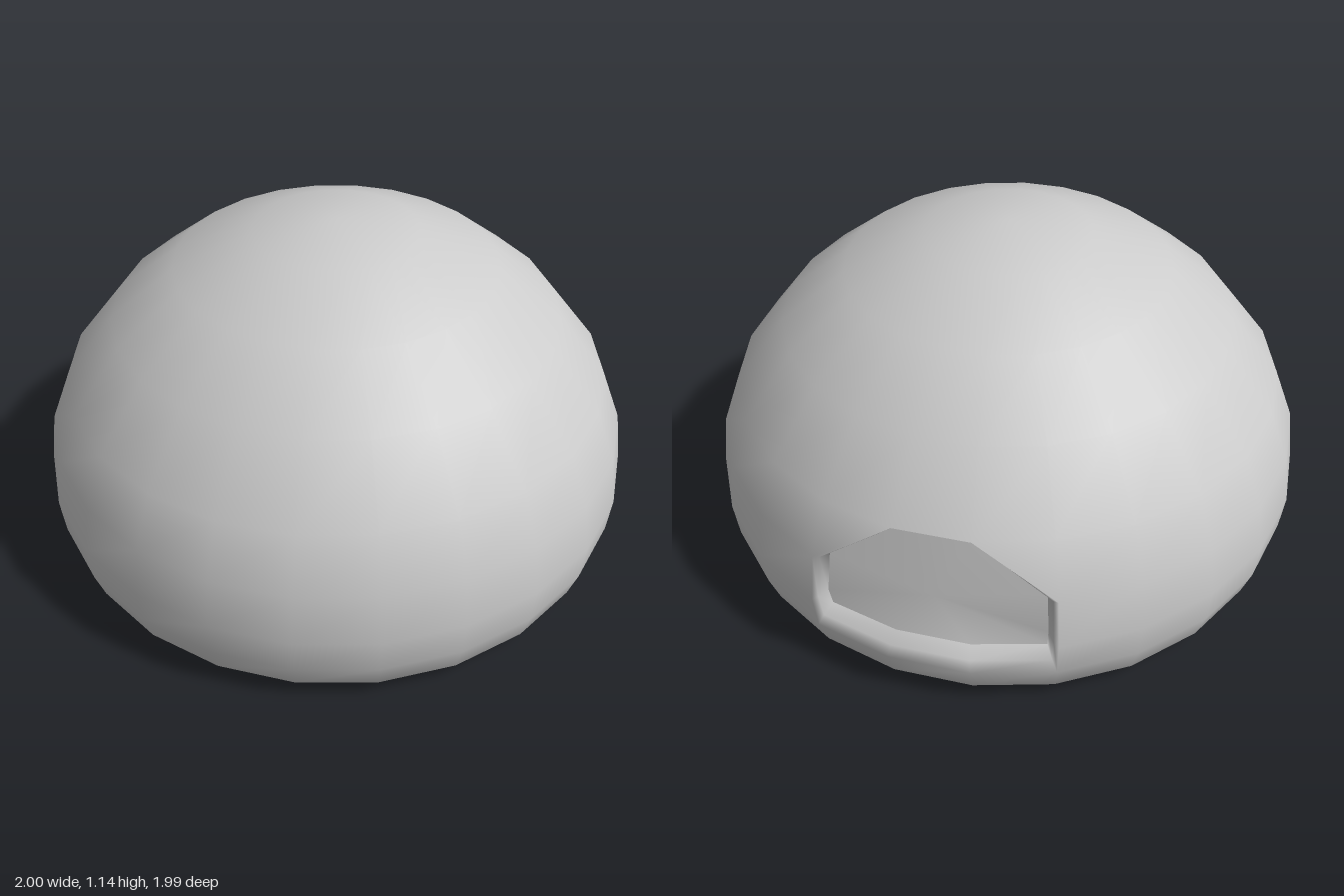
import * as THREE from 'three';

const SEG = 24;
// [radius, height] of the rings from the apex down to the base centre
const RINGS = [
  [0, 1.145], [0.27, 1.11], [0.53, 1.0], [0.74, 0.835], [0.905, 0.625], [0.975, 0.45],
  [1, 0.285], [0.988, 0.16], [0.957, 0.065], [0.917, 0.022], [0.855, 0.004], [0, 0],
];
const STEP = (Math.PI * 2) / SEG;
const MIDDLE = -STEP / 2; // direction of the doorway, measured from the back

const point = (r, y, angle) => [r * Math.sin(angle), y, -r * Math.cos(angle)];

function buildGeometry(points, index) {
  const geometry = new THREE.BufferGeometry();
  geometry.setAttribute('position', new THREE.Float32BufferAttribute(points.flat(), 3));
  geometry.setIndex(index);
  geometry.computeVertexNormals();
  return geometry;
}

export function createModel() {
  const group = new THREE.Group();
  const material = new THREE.MeshStandardMaterial({ color: 0xcccccc });

  // Dome rings; the two poles are single shared vertices
  const points = [];
  const index = [];
  const last = RINGS.length - 1;
  const ids = RINGS.map(([r, y]) => {
    const start = points.length;
    const count = r === 0 ? 1 : SEG;
    for (let j = 0; j < count; j++) points.push(point(r, y, (j - 2) * STEP));
    return (j) => start + (j % count);
  });

  // Dome faces, leaving the doorway open
  for (let i = 0; i < last; i++) {
    for (let j = 0; j < SEG; j++) {
      const a = ids[i](j), b = ids[i](j + 1), c = ids[i + 1](j), d = ids[i + 1](j + 1);
      const inDoor = j < 3;
      if (inDoor && (i === 5 || i === 6 || (i === 4 && j === 1))) continue;
      if (i === 4 && j === 0) index.push(a, b, c); // sloped door corners
      else if (i === 4 && j === 2) index.push(a, b, d);
      else {
        if (i < last - 1) index.push(a, d, c);
        if (i > 0) index.push(a, b, d);
      }
    }
  }

  // Doorway outline as [ring, column], then two inset copies for the rounded rim
  const outline = [[7, 0], [6, 0], [5, 0], [4, 1], [4, 2], [5, 3], [6, 3], [7, 3], [7, 2], [7, 1]];
  const inset = (t, depth) => outline.map(([i, j]) => {
    const [r, y] = RINGS[i];
    const angle = THREE.MathUtils.lerp((j - 2) * STEP, MIDDLE, 0.06 * t);
    const innerY = i === 7 ? 0.232 : i === 6 ? 0.3 : y - 0.014;
    return point(r - depth, THREE.MathUtils.lerp(y, innerY, t), angle);
  });
  const addLoop = (loop) => loop.map((p) => points.push(p) - 1);
  const inner = inset(1, 0.05);
  const loops = [outline.map(([i, j]) => ids[i](j)), addLoop(inset(0.55, 0.015)), addLoop(inner)];
  for (let l = 0; l < 2; l++) {
    for (let k = 0; k < outline.length; k++) {
      const n = (k + 1) % outline.length;
      const [o, m] = [loops[l], loops[l + 1]];
      index.push(o[k], o[n], m[n], o[k], m[n], m[k]);
    }
  }
  const dome = new THREE.Mesh(buildGeometry(points, index), material);
  dome.name = 'dome';
  group.add(dome);

  // Recessed door panel, a fan around its centre
  const centre = point(0.9, 0.38, MIDDLE);
  const fan = inner.flatMap((_, k) => [k, (k + 1) % inner.length, inner.length]);
  const panel = new THREE.Mesh(buildGeometry([...inner, centre], fan), material);
  panel.name = 'doorPanel';
  group.add(panel);

  return group;
}
